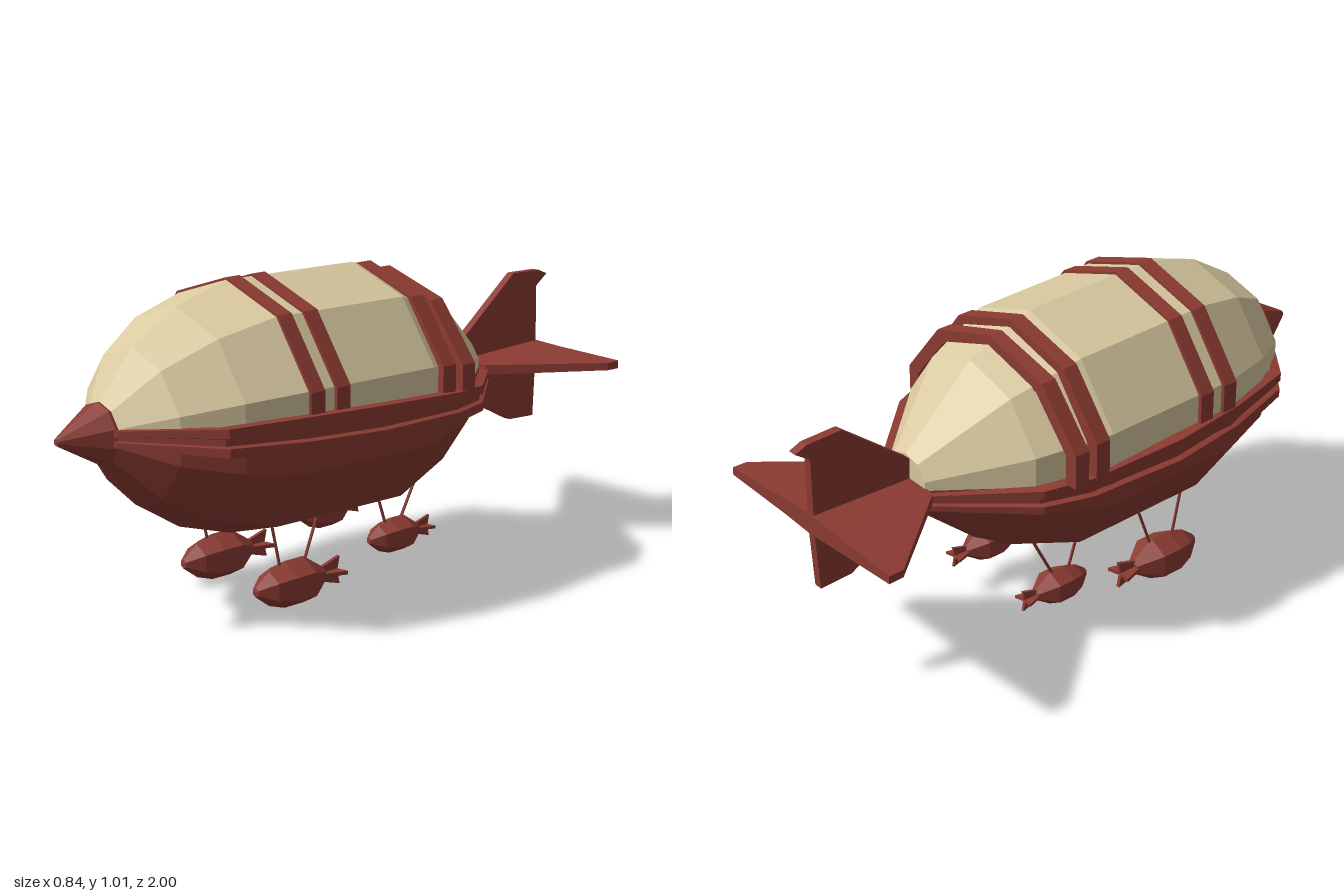
import * as THREE from 'three';

const red = new THREE.MeshStandardMaterial({ color: 0x8c3b32, flatShading: true, side: THREE.DoubleSide });
const cream = new THREE.MeshStandardMaterial({ color: 0xd9c9a0, flatShading: true, side: THREE.DoubleSide });
const V = (x, y, z) => new THREE.Vector3(x, y, z);
const RAD = Math.PI / 180;

// Skin over equal-length closed rings, with both ends capped
function loft(rings) {
  const n = rings[0].length;
  const mid = (r) => r.reduce((a, p) => a.add(p), V(0, 0, 0)).divideScalar(n);
  const all = [rings[0].map(() => mid(rings[0])), ...rings, rings.at(-1).map(() => mid(rings.at(-1)))];
  const pts = [];
  for (let i = 0; i < all.length - 1; i++) {
    for (let j = 0; j < n; j++) {
      const k = (j + 1) % n;
      const [a, b, c, d] = [all[i][j], all[i][k], all[i + 1][k], all[i + 1][j]];
      if (i > 0) pts.push(a, b, c);
      else pts.push(a, c, d);
      if (i > 0 && i < all.length - 2) pts.push(a, c, d);
    }
  }
  const g = new THREE.BufferGeometry().setFromPoints(pts);
  g.computeVertexNormals();
  return g;
}

function add(parent, name, geometry, material = red) {
  const m = new THREE.Mesh(geometry, material);
  m.name = name;
  parent.add(m);
  return m;
}

// Solid of revolution along z from [z, radius] pairs, rear to front
const latheZ = (profile, sides) =>
  new THREE.LatheGeometry(profile.map(([z, r]) => new THREE.Vector2(r, z)), sides).rotateX(Math.PI / 2);

// Flat plate centred on its thickness
function plate(points, t) {
  const shape = new THREE.Shape(points.map(([x, y]) => new THREE.Vector2(x, y)));
  return new THREE.ExtrudeGeometry(shape, { depth: t, bevelEnabled: false }).translate(0, 0, -t / 2);
}

function strut(parent, from, to) {
  const m = add(parent, 'strut', new THREE.CylinderGeometry(0.005, 0.005, from.distanceTo(to), 5));
  m.position.copy(from).lerp(to, 0.5);
  m.quaternion.setFromUnitVectors(V(0, 1, 0), to.clone().sub(from).normalize());
}

// Small hanging pod with crossed tail fins; origin is the pod's axis at the nose
function pod(x, y, z, s) {
  const g = new THREE.Group();
  g.name = 'pod';
  add(g, 'podBody', latheZ([[-0.27, 0], [-0.27, 0.022], [-0.19, 0.075], [-0.115, 0.075], [-0.055, 0.055], [-0.002, 0.015], [0, 0]], 6));
  const fan = [[-0.25, -0.02], [-0.25, 0.02], [-0.335, 0.045], [-0.325, 0], [-0.335, -0.045]];
  for (const a of [0, 90]) {
    add(g, 'podFin', plate(fan, 0.012).rotateY(-Math.PI / 2).rotateZ(a * RAD));
  }
  g.position.set(x, y, z);
  g.scale.setScalar(s);
  return g;
}

export function createModel() {
  const model = new THREE.Group();
  model.name = 'airship';
  const CX = -0.012, CY = 0.617;

  // Ten-sided hull, cream above the waist and red below
  const profile = [[-0.6, 0.09], [-0.35, 0.305], [-0.12, 0.39], [0.38, 0.392], [0.57, 0.335], [0.73, 0.235], [0.85, 0.085]];
  const half = (start) => loft(profile.map(([z, r]) => [0, 18, 54, 90, 126, 162, 180].map((a, i) => {
    const q = i % 6 ? r : r * Math.cos(18 * RAD);
    return V(CX + q * Math.cos((a + start) * RAD), CY + 0.015 * z + q * Math.sin((a + start) * RAD), z);
  })));
  add(model, 'upperHull', half(0), cream);
  add(model, 'lowerHull', half(180));

  // Nose cone
  add(model, 'noseCone', latheZ([[0.82, 0], [0.82, 0.085], [0.855, 0.093], [0.99, 0.016], [1, 0.01], [1, 0]], 10))
    .position.set(CX, 0.63, 0);

  // Grooved belt around the waist: [z, half width, half height]
  const path = [[-0.61, 0.11, 0.025], [-0.35, 0.34, 0.04], [-0.2, 0.393, 0.046], [0.13, 0.42, 0.055],
    [0.4, 0.395, 0.053], [0.65, 0.335, 0.042], [0.86, 0.085, 0.025]];
  const section = [[-0.04, -1], [0, -1], [0, -0.35], [-0.018, -0.25], [-0.018, 0.25], [0, 0.35], [0, 1], [-0.04, 1]];
  const belt = new THREE.Group();
  belt.name = 'belt';
  belt.position.y = 0.603;
  belt.rotation.z = 0.035;
  for (const s of [1, -1]) {
    const rings = path.map(([z, w, h]) => {
      const ring = section.map(([dx, dy]) => V(s * (w + dx), 0.035 * (z - 0.13) + dy * h, z));
      return s > 0 ? ring : ring.reverse();
    });
    add(belt, 'beltSide', loft(rings));
  }
  model.add(belt);

  // Straps over the cream half: [z, height radius]
  for (const [z, ry] of [[0.355, 0.405], [0.257, 0.403], [-0.172, 0.383], [-0.254, 0.357]]) {
    const arc = (d) => [18, 54, 90, 126, 162].map((a) => [(0.405 - d) * Math.cos(a * RAD), (ry - d) * Math.sin(a * RAD)]);
    const outer = arc(0), inner = arc(0.045);
    const outline = [[outer[0][0], 0], ...outer, [outer[4][0], 0], [inner[4][0], 0], ...inner.reverse(), [inner[4][0], 0]];
    add(model, 'strap', plate(outline, 0.052)).position.set(CX, CY, z);
  }

  // Tail: upright fins and tapered side fins
  const tail = new THREE.Group();
  tail.name = 'tail';
  tail.position.set(CX, 0.6, 0);
  tail.rotation.z = 0.035;
  const upright = [[-0.59, -0.1], [-0.59, 0.08], [-0.84, 0.275], [-0.96, 0.272], [-1, 0.255], [-0.95, 0.22],
    [-0.945, -0.03], [-0.93, -0.225], [-0.82, -0.22]];
  add(tail, 'uprightFin', plate(upright, 0.028).rotateY(-Math.PI / 2));
  // Stations: [x, rear z, front z, rear half thickness, front half thickness]
  const span = [[-0.365, -0.95, -0.9, 0.013, 0.012], [-0.12, -0.95, -0.6, 0.026, 0.016], [0, -0.95, -0.58, 0.034, 0.02],
    [0.12, -0.95, -0.6, 0.026, 0.016], [0.375, -0.955, -0.905, 0.013, 0.012]];
  add(tail, 'sideFins', loft(span.map(([x, r, f, tr, tf]) => [V(x, -tr, r), V(x, tr, r), V(x, tf, f), V(x, -tf, f)])));
  model.add(tail);

  // Four hanging pods with their struts
  for (const x of [-0.213, 0.14]) {
    model.add(pod(x, 0.083, 0.405, 1));
    strut(model, V(x, 0.13, 0.305), V(x, 0.31, 0.345));
    strut(model, V(x, 0.13, 0.215), V(x, 0.31, 0.145));
  }
  for (const x of [-0.196, 0.14]) {
    model.add(pod(x, 0.146, -0.057, 0.77));
    strut(model, V(x, 0.18, -0.13), V(x, 0.31, -0.085));
    strut(model, V(x, 0.18, -0.185), V(x, 0.35, -0.275));
  }
  return model;
}
